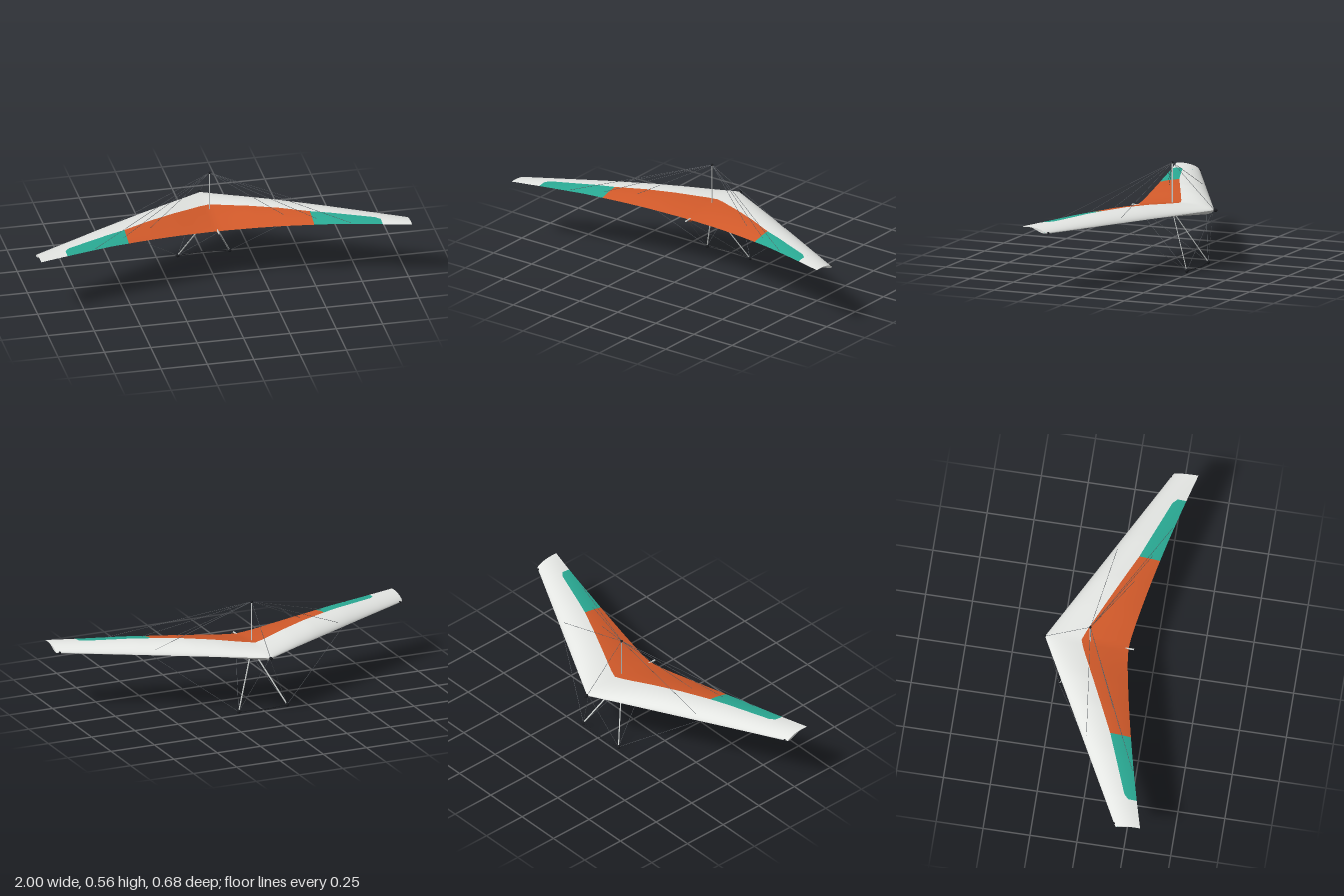
import * as THREE from 'three';

const mat = (name, color, side = THREE.FrontSide) => {
  const m = new THREE.MeshStandardMaterial({ color, side });
  m.name = name;
  return m;
};

// linear interpolation through a few [x, value] stations
function along(stations, x) {
  for (let i = 1; i < stations.length; i++) {
    const [x0, a] = stations[i - 1], [x1, b] = stations[i];
    if (x <= x1) return a + (b - a) * (x - x0) / (x1 - x0);
  }
  return stations[stations.length - 1][1];
}

// wing planform: the nose points to -z, the trailing edge is rounded at the keel
const leadZ = a => -0.325 + 0.53 * a;
const trailZ = a => 0.116 + 0.17 * (Math.hypot(a, 0.06) - 0.03) + 0.056 * a * a;
const leadY = a => 0.319 + 0.006 * a;
const trailY = a => along([[0, 0.316], [0.1, 0.321], [0.22, 0.33], [0.35, 0.338], [0.6, 0.35], [1, 0.354]], a);
const camber = a => along([[0, 0.028], [0.2, 0.039], [0.35, 0.042], [0.6, 0.034], [1, 0.014]], a);
const depth = a => along([[0, 0.05], [0.25, 0.04], [0.5, 0.032], [1, 0.012]], a);

// chord fraction where the coloured rear panels begin, above and below
const chordT = (a, z) => (z - leadZ(a)) / (trailZ(a) - leadZ(a));
const outerEdge = [[0.5, 0.1], [0.825, 0.226], [0.85, 0.25]];
const upperT = a => chordT(a, along([[0, -0.13], [0.05, -0.112], ...outerEdge], a));
const lowerT = a => chordT(a, along([[0, -0.23], [0.425, -0.04], [0.475, -0.005], ...outerEdge], a));

function upper(x, t) {
  const a = Math.abs(x);
  const y = leadY(a) + (trailY(a) - leadY(a)) * t + camber(a) * Math.pow(t, 0.6) * (1 - t) / 0.347;
  return [x, y, leadZ(a) + (trailZ(a) - leadZ(a)) * t];
}
function lower(x, t) {
  const p = upper(x, t);
  const pocket = Math.pow(t, 0.7) * Math.pow(Math.max(0, 1 - t / 0.62), 1.3) / 0.196;
  p[1] -= depth(Math.abs(x)) * pocket + 0.002 * Math.min(1, t * 20);
  return p;
}

// grid of points over u, v in 0..1
function grid(point, nu, nv) {
  const pos = [], idx = [];
  for (let i = 0; i <= nu; i++)
    for (let j = 0; j <= nv; j++) pos.push(...point(i / nu, j / nv));
  for (let i = 0; i < nu; i++)
    for (let j = 0; j < nv; j++) {
      const a = i * (nv + 1) + j, b = a + nv + 1;
      idx.push(a, a + 1, b, b, a + 1, b + 1);
    }
  const g = new THREE.BufferGeometry();
  g.setAttribute('position', new THREE.Float32BufferAttribute(pos, 3));
  g.setIndex(idx);
  g.computeVertexNormals();
  return g;
}

export function createModel() {
  const root = new THREE.Group();
  root.name = 'hangGlider';
  const cloth = mat('pale sail', 0xe6e8e5, THREE.DoubleSide);
  const orange = mat('orange sail', 0xd25a2a, THREE.DoubleSide);
  const teal = mat('teal sail', 0x2aaa94, THREE.DoubleSide);
  const alloy = mat('aluminium', 0xd0d4d2);
  const black = mat('black fittings', 0x1c1e22);
  const wire = mat('steel wire', 0x5a5e63);

  const add = (name, geo, material, parent = root) => {
    const m = new THREE.Mesh(geo, material);
    m.name = name;
    parent.add(m);
    return m;
  };
  const V = p => new THREE.Vector3(...p);
  // straight tube; flat < 1 gives a streamlined section, thin across x
  const rod = (name, from, to, r, material, flat = 1) => {
    const a = V(from), b = V(to), d = b.clone().sub(a);
    const m = add(name, new THREE.CylinderGeometry(r, r, d.length(), 10), material);
    m.position.copy(a).add(b).multiplyScalar(0.5);
    m.quaternion.setFromUnitVectors(new THREE.Vector3(0, 1, 0), d.normalize());
    m.scale.x = flat;
  };
  const cable = (name, from, to) => rod(name, from, to, 0.001, wire);
  const ball = (name, p, r, sz = 1) => {
    const m = add(name, new THREE.SphereGeometry(r, 16, 12), black);
    m.position.set(...p);
    m.scale.z = sz;
  };

  // sail, as panels of the upper and lower surfaces
  const sail = new THREE.Group();
  sail.name = 'sail';
  root.add(sail);
  const zero = () => 0, one = () => 1;
  const panel = (name, surface, x0, x1, t0, t1, material) => {
    const nx = Math.max(6, Math.round(Math.abs(x1 - x0) * 20) * 2);
    add(name, grid((u, v) => {
      const x = x0 + (x1 - x0) * u, a = Math.abs(x);
      const from = t0(a), to = t1(a);
      // rows crowd towards the rounded leading edge
      return surface(x, from + (to - from) * (from === 0 ? v * v : v));
    }, nx, 14), material, sail);
  };
  for (const [side, surface, edge] of [['upper', upper, upperT], ['lower', lower, lowerT]]) {
    panel(side + 'CentrePanel', surface, -0.5, 0.5, edge, one, orange);
    panel(side + 'FrontPanel', surface, -0.85, 0.85, zero, edge, cloth);
    for (const s of [1, -1])
      panel(side + 'OuterPanel', surface, s * 0.5, s * 0.85, edge, one, teal);
  }
  const patchEnd = () => 0.6;
  for (const s of [1, -1]) {
    panel('upperTip', upper, s * 0.85, s, zero, one, cloth);
    panel('lowerTipGap', lower, s * 0.85, s * 0.87, zero, one, cloth);
    panel('lowerTipPatch', lower, s * 0.87, s, zero, patchEnd, teal);
    panel('lowerTipRear', lower, s * 0.87, s, patchEnd, one, cloth);
    add('tipEdge', grid((u, v) => {
      const p = upper(s, u * u), q = lower(s, u * u);
      return [s, p[1] + (q[1] - p[1]) * v, p[2]];
    }, 16, 1), cloth, sail);
  }

  // keel with its hanging cloth pocket, nose fitting and king post
  const top = [0, 0.558, -0.083], nose = [0, 0.32, -0.325];
  rod('keel', [0, 0.3145, 0.15], nose, 0.0045, alloy);
  add('keelPocket', grid((u, v) =>
    [0, 0.315 - 0.018 * v * Math.sqrt(u) * (1 - u) / 0.385, 0.135 - 0.17 * u], 20, 2), orange, sail);
  ball('noseCap', [0, 0.32, -0.331], 0.009, 1.35);
  rod('kingPost', [0, 0.3, -0.083], top, 0.004, alloy, 0.5);
  ball('kingPostCap', top, 0.0065);

  // hang strap and ring under the keel
  const strap = add('hangStrap', new THREE.BoxGeometry(0.01, 0.022, 0.005), orange);
  strap.position.set(0, 0.311, -0.077);
  const ring = add('hangRing', new THREE.TorusGeometry(0.005, 0.002, 8, 20), black);
  ring.position.set(0, 0.298, -0.083);
  ring.rotation.y = Math.PI / 2;

  // control frame with a bowed base bar
  const corner = s => [s * 0.14, 0.0105, -0.228];
  const bow = new THREE.CatmullRomCurve3([
    corner(-1), [-0.09, 0.0105, -0.232], [-0.045, 0.01, -0.241],
    [0.045, 0.01, -0.241], [0.09, 0.0105, -0.232], corner(1)].map(V));
  add('baseBar', new THREE.TubeGeometry(bow, 32, 0.0026, 8), black);

  cable('topNoseWire', top, nose);
  for (const s of [1, -1]) {
    const c = corner(s);
    rod('downTube', [0, 0.298, -0.083], c, 0.004, alloy, 0.5);
    ball('cornerFitting', c, 0.0105, 0.85);

    // leading edge tube inside the sail, and its end cap
    rod('leadingEdgeTube', [0, 0.32, -0.308], [s * 0.985, 0.325, 0.2], 0.0035, alloy);
    ball('leadingEdgeCap', [s * 0.982, 0.325, 0.197], 0.006, 1.4);

    // upper wires to the trailing edge and the cross spar
    for (const [x, t] of [[0.36, 0.73], [0.52, 0.83], [0.69, 0.97]])
      cable('trailingEdgeWire', top, upper(s * x, t));
    cable('topSideWire', top, [s * 0.53, 0.345, -0.022]);

    // lower wires
    cable('lowerSideWire', c, [s * 0.565, 0.328, -0.018]);
    cable('lowerNoseWire', c, [0, 0.315, -0.315]);
    cable('lowerKeelWire', c, [0, 0.314, 0.132]);
  }
  return root;
}
